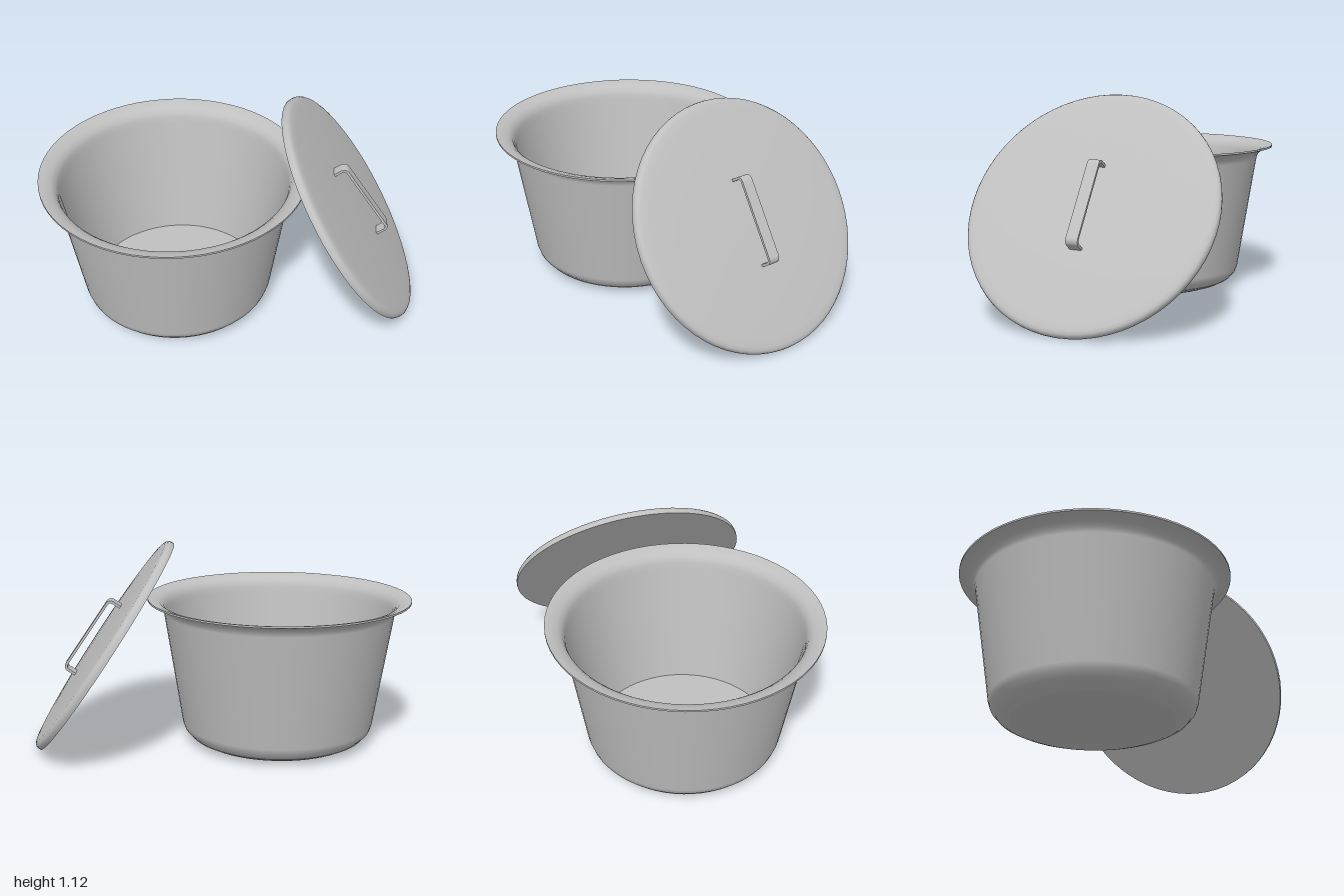
import * as THREE from 'three';

const steel = new THREE.MeshStandardMaterial({ color: 0xc0c0c0 });
steel.name = 'steel';
const SEGMENTS = 64;

// Revolves an [r, y] profile; corners between separate lathes stay sharp
function lathe(name, profile) {
  const points = profile.map(([r, y]) => new THREE.Vector2(r, y));
  const mesh = new THREE.Mesh(new THREE.LatheGeometry(points, SEGMENTS), steel);
  mesh.name = name;
  return mesh;
}

function makePot() {
  const pot = new THREE.Group();
  pot.name = 'pot';
  pot.add(
    lathe('potBase', [[0, 0.008], [0.415, 0.008]]),
    lathe('potOuterWall', [
      [0.415, 0.008], [0.455, 0.022], [0.493, 0.046], [0.52, 0.075], [0.532, 0.11],
      [0.632, 0.735], [0.64, 0.76], [0.66, 0.78], [0.69, 0.794], [0.72, 0.802],
    ]),
    lathe('potRim', [[0.72, 0.802], [0.72, 0.812]]),
    lathe('potInnerWall', [
      [0.72, 0.812], [0.69, 0.806], [0.655, 0.793], [0.632, 0.772], [0.622, 0.745],
      [0.616, 0.715], [0.49, 0.04],
    ]),
    lathe('potFloor', [[0.49, 0.04], [0, 0.04]]),
  );
  pot.position.set(-0.28, 0, -0.235);
  return pot;
}

// Bent strap: two legs, rounded corners and a flat grip
function makeHandle() {
  const half = 0.235, low = 0.045, high = 0.135, t = 0.014, r = 0.032;
  const s = new THREE.Shape();
  s.moveTo(half, low);
  s.lineTo(half, high - r);
  s.absarc(half - r, high - r, r, 0, Math.PI / 2, false);
  s.lineTo(-half + r, high);
  s.absarc(-half + r, high - r, r, Math.PI / 2, Math.PI, false);
  s.lineTo(-half, low);
  s.lineTo(-half + t, low);
  s.lineTo(-half + t, high - r);
  s.absarc(-half + r, high - r, r - t, Math.PI, Math.PI / 2, true);
  s.lineTo(half - r, high - t);
  s.absarc(half - r, high - r, r - t, Math.PI / 2, 0, true);
  s.lineTo(half - t, low);
  s.closePath();
  const width = 0.064;
  const geometry = new THREE.ExtrudeGeometry(s, { depth: width, bevelEnabled: false, curveSegments: 8 });
  geometry.translate(0, 0, -width / 2);
  const handle = new THREE.Mesh(geometry, steel);
  handle.name = 'lidHandle';
  return handle;
}

function makeLid() {
  const lid = new THREE.Group();
  lid.name = 'lid';
  lid.add(
    lathe('lidUnderside', [[0, 0], [0.666, 0]]),
    lathe('lidTop', [
      [0.666, 0], [0.667, 0.014], [0.664, 0.027], [0.655, 0.037], [0.638, 0.043],
      [0.6, 0.047], [0.45, 0.054], [0.25, 0.058], [0, 0.06],
    ]),
    makeHandle(),
  );
  // Lean the lid against the pot: local y is its facing, local x runs along the handle
  const facing = new THREE.Vector3(0.585, 0.56, 0.585).normalize();
  const along = new THREE.Vector3(0.38, -0.82, 0.425).projectOnPlane(facing).normalize();
  const across = new THREE.Vector3().crossVectors(along, facing);
  lid.quaternion.setFromRotationMatrix(new THREE.Matrix4().makeBasis(along, facing, across));
  lid.position.set(0.432, 0.553, 0.387);
  return lid;
}

export function createModel() {
  const model = new THREE.Group();
  model.name = 'potWithLid';
  model.add(makePot(), makeLid());
  return model;
}
